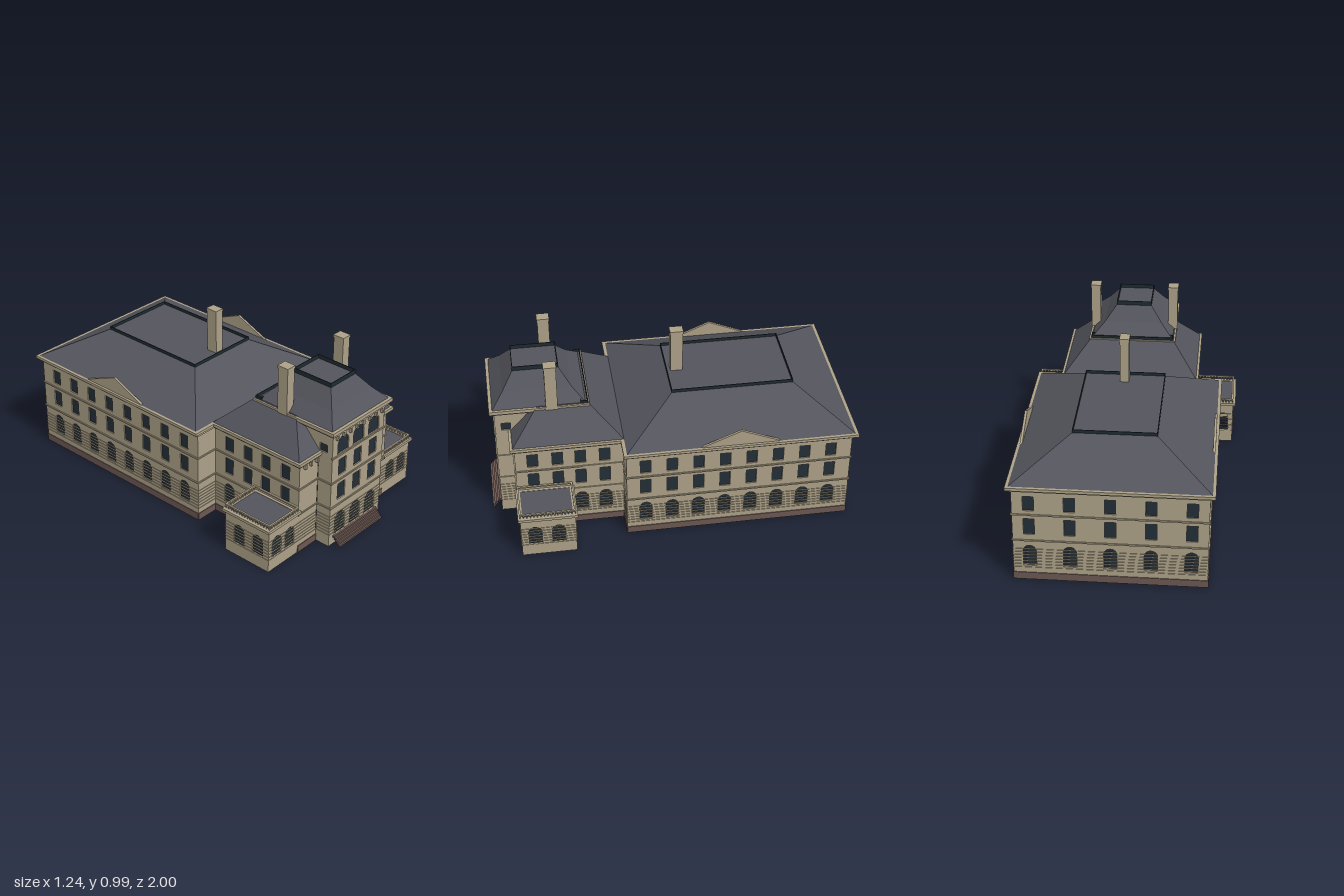
import * as THREE from 'three';

const mat = (name, color, side = THREE.DoubleSide) => {
  const m = new THREE.MeshStandardMaterial({ color, side });
  m.name = name;
  return m;
};

export function createModel() {
  const stone = mat('sandstone', 0xaca087);
  const slate = mat('slate', 0x54545d);
  const glass = mat('dark glass', 0x232e37);
  const iron = mat('dark iron', 0x1e2b31);
  const plum = mat('plum base stone', 0x6b5751);
  const root = new THREE.Group();
  root.name = 'mansion';

  const add = (name, geo, m, parent = root) => {
    const mesh = new THREE.Mesh(geo, m);
    mesh.name = name;
    parent.add(mesh);
    return mesh;
  };
  const box = (name, x0, x1, y0, y1, z0, z1, m, parent) => add(name,
    new THREE.BoxGeometry(x1 - x0, y1 - y0, z1 - z0)
      .translate((x0 + x1) / 2, (y0 + y1) / 2, (z0 + z1) / 2), m, parent);

  // Rectangular frame lying flat: cornices, rails and roof cresting
  const rect = (T, x0, x1, y0, y1) => {
    const s = new T();
    s.moveTo(x0, y0); s.lineTo(x1, y0); s.lineTo(x1, y1); s.lineTo(x0, y1); s.closePath();
    return s;
  };
  const ring = (name, x0, x1, z0, z1, y0, y1, w, m) => {
    const s = rect(THREE.Shape, x0, x1, -z1, -z0);
    s.holes.push(rect(THREE.Path, x0 + w, x1 - w, -z1 + w, -z0 - w));
    const g = new THREE.ExtrudeGeometry(s, { depth: y1 - y0, bevelEnabled: false });
    add(name, g.rotateX(-Math.PI / 2).translate(0, y0, 0), m);
  };

  // Hipped roof through levels [half width, back z, front z, y], closed on top
  const hipRoof = (name, levels) => {
    const pos = [];
    const quad = (a, b, c, d) => pos.push(...a, ...b, ...c, ...a, ...c, ...d);
    const rows = levels.map(([x, z0, z1, y]) => [[-x, y, z1], [x, y, z1], [x, y, z0], [-x, y, z0]]);
    for (let i = 0; i + 1 < rows.length; i++)
      for (let k = 0; k < 4; k++) {
        const n = (k + 1) % 4;
        quad(rows[i][k], rows[i][n], rows[i + 1][n], rows[i + 1][k]);
      }
    quad(...rows[rows.length - 1]);
    const g = new THREE.BufferGeometry();
    g.setAttribute('position', new THREE.Float32BufferAttribute(pos, 3));
    g.computeVertexNormals();
    add(name, g, slate);
  };

  // Window outline centred on u, optionally with a round head
  const opening = (T, { u, w, y0, y1, arch }) => {
    if (!arch) return rect(T, u - w / 2, u + w / 2, y0, y1);
    const s = new T();
    s.moveTo(u - w / 2, y0);
    s.lineTo(u + w / 2, y0);
    s.lineTo(u + w / 2, y1 - w / 2);
    s.absarc(u, y1 - w / 2, w / 2, 0, Math.PI, false);
    s.closePath();
    return s;
  };
  const row = (us, w, y0, y1, arch = false) => us.map(u => ({ u, w, y0, y1, arch }));

  // Wall panel: openings, panes, rusticated ground floor, string courses, base
  const wall = (name, x, z, ry, u0, u1, y0, y1, wins, o = {}) => {
    const g = new THREE.Group();
    g.name = name;
    g.position.set(x, 0, z);
    g.rotation.y = ry;
    root.add(g);
    const s = rect(THREE.Shape, u0, u1, y0, y1);
    wins.forEach(w => s.holes.push(opening(THREE.Path, w)));
    add('wallPanel', new THREE.ExtrudeGeometry(s, { depth: 0.012, bevelEnabled: false, curveSegments: 6 })
      .translate(0, 0, -0.012), stone, g);
    if (!o.open && wins.length) add('windowPanes',
      new THREE.ShapeGeometry(wins.map(w => opening(THREE.Shape, w)), 6).translate(0, 0, -0.007), glass, g);
    if (y0 === 0) for (let i = 0; i < 7; i++)
      box('rusticationStrip', u0, u1, 0.073 + i * 0.019, 0.0755 + i * 0.019, -0.003, 0.003, stone, g);
    (o.bands || []).forEach(y => box('stringCourse', u0 - 0.005, u1 + 0.005, y, y + 0.008, -0.005, 0.006, stone, g));
    if (o.base) box('basePlinth', u0, u1, 0, 0.042, -0.005, 0.004, plum, g);
  };
  const sideWall = (name, s, x, z0, z1, y0, y1, wins, o) =>
    wall(name, s * x, 0, s * Math.PI / 2, s > 0 ? -z1 : z0, s > 0 ? -z0 : z1, y0, y1,
      wins.map(w => ({ ...w, u: -s * w.u })), o);
  const floors = (us, ground = us) => [
    ...row(ground, 0.07, 0.085, 0.21, true), ...row(us, 0.058, 0.278, 0.374), ...row(us, 0.058, 0.422, 0.508)];
  const bands = [0.238, 0.394];
  const full = { bands, base: true };

  // Main block
  const bays = Array.from({ length: 8 }, (_, i) => 0.166 - i * 0.146);
  wall('mainBackWall', 0, -0.97, Math.PI, -0.507, 0.507, 0, 0.555, floors([-0.42, -0.21, 0, 0.21, 0.42]), full);
  wall('mainFrontWall', 0, 0.27, 0, -0.507, 0.507, 0, 0.555, [], full);
  ring('mainFrieze', -0.518, 0.518, -0.982, 0.278, 0.54, 0.556, 0.02, stone);
  ring('mainCornice', -0.534, 0.534, -1, 0.285, 0.555, 0.571, 0.035, stone);
  hipRoof('mainRoof', [[0.52, -0.985, 0.268, 0.57], [0.22, -0.69, -0.02, 0.733]]);
  ring('mainRoofCresting', -0.222, 0.222, -0.692, -0.018, 0.728, 0.75, 0.004, iron);

  // Middle block
  ring('middleFrieze', -0.383, 0.383, 0.25, 0.87, 0.538, 0.554, 0.02, stone);
  ring('middleCornice', -0.398, 0.398, 0.25, 0.882, 0.553, 0.571, 0.03, stone);
  hipRoof('middleRoof', [[0.385, 0.265, 0.868, 0.57], [0.24, 0.44, 0.72, 0.73]]);
  ring('middleRoofCresting', -0.24, 0.24, 0.44, 0.48, 0.725, 0.745, 0.004, iron);

  for (const s of [1, -1]) {
    sideWall('mainSideWall', s, 0.507, -0.97, 0.27, 0, 0.555, floors(bays), full);
    sideWall('middleSideWall', s, 0.37, 0.27, 0.86, 0, 0.555,
      floors([0.765, 0.63, 0.505, 0.372], [0.505, 0.372]), full);
    wall('middleFrontWall', s * 0.295, 0.86, 0, -0.075, 0.075, 0, 0.555, [], full);
    for (const x of [0.24, 0.287, 0.333])
      box('eavesBracket', s * x - 0.006, s * x + 0.006, 0.512, 0.538, 0.858, 0.875, stone);

    // Side gable
    const tri = new THREE.Shape([[-0.225, 0], [0.225, 0], [0, 0.095]].map(p => new THREE.Vector2(...p)));
    const gable = add('sideGable', new THREE.ExtrudeGeometry(tri, { depth: 0.014, bevelEnabled: false })
      .rotateY(Math.PI / 2), stone);
    gable.position.set(s * 0.513 - 0.007, 0.568, -0.353);

    // Low wing with its balustrade
    const lo = s > 0 ? 0.37 : -0.605, hi = s > 0 ? 0.605 : -0.37;
    const wingWin = us => row(us, 0.073, 0.077, 0.197, true);
    wall('wingFrontWall', 0, 0.86, 0, lo, hi, 0, 0.255, wingWin([s * 0.437, s * 0.54]));
    wall('wingBackWall', 0, 0.56, Math.PI, -hi, -lo, 0, 0.255, wingWin([-s * 0.437, -s * 0.54]), { open: true });
    sideWall('wingSideWall', s, 0.605, 0.56, 0.86, 0, 0.255, wingWin([0.783, 0.655]));
    const a = s > 0 ? 0.36 : -0.62, b = s > 0 ? 0.62 : -0.36;
    ring('wingCornice', a, b, 0.548, 0.872, 0.25, 0.266, 0.025, stone);
    box('wingRoof', a + 0.015, b - 0.015, 0.258, 0.264, 0.563, 0.857, slate);
    ring('balustradeRail', lo, hi, 0.556, 0.864, 0.284, 0.292, 0.01, stone);
    for (let i = 0; i <= 12; i++) {
      const x = s * (0.378 + i * 0.0185);
      for (const z of [0.561, 0.859])
        box('baluster', x - 0.003, x + 0.003, 0.264, 0.286, z - 0.003, z + 0.003, stone);
    }
    for (let i = 1; i < 16; i++) {
      const z = 0.561 + i * 0.0186;
      box('baluster', s * 0.6 - 0.003, s * 0.6 + 0.003, 0.264, 0.286, z - 0.003, z + 0.003, stone);
    }

    // Tower sides
    sideWall('towerLowerSide', s, 0.218, 0.86, 0.95, 0, 0.56, [], { bands });
    sideWall('towerUpperSide', s, 0.218, 0.46, 0.95, 0.56, 0.7, row([0.89], 0.05, 0.575, 0.622));
  }

  // Tower
  const tx = [-0.13, 0, 0.13];
  wall('towerFrontWall', 0, 0.95, 0, -0.218, 0.218, 0, 0.7, [
    ...row(tx, 0.088, 0.055, 0.185, true), ...row(tx, 0.062, 0.273, 0.372),
    ...row(tx, 0.062, 0.424, 0.522), ...row(tx, 0.09, 0.56, 0.662, true)], { bands: [...bands, 0.549] });
  wall('towerBackWall', 0, 0.46, Math.PI, -0.218, 0.218, 0.56, 0.7, []);
  for (let i = 0; i < 8; i++) {
    const x = -0.189 + i * 0.054;
    box('towerBracket', x - 0.006, x + 0.006, 0.658, 0.692, 0.948, 0.964, stone);
  }
  ring('towerFrieze', -0.233, 0.233, 0.445, 0.964, 0.69, 0.71, 0.02, stone);
  ring('towerCornice', -0.252, 0.252, 0.432, 0.975, 0.708, 0.728, 0.035, stone);
  hipRoof('towerRoof', [[0.238, 0.45, 0.958, 0.727], [0.168, 0.522, 0.894, 0.798], [0.1, 0.585, 0.83, 0.885]]);
  ring('towerRoofCresting', -0.102, 0.102, 0.583, 0.832, 0.88, 0.907, 0.004, iron);

  // Chimneys
  for (const [x, z, w, d, y] of [[-0.228, 0.637, 0.054, 0.064, 0.64], [0.228, 0.637, 0.054, 0.064, 0.64],
    [0, -0.075, 0.05, 0.068, 0.72]]) {
    box('chimney', x - w / 2, x + w / 2, y, 0.98, z - d / 2, z + d / 2, stone);
    box('chimneyCap', x - w / 2 - 0.003, x + w / 2 + 0.003, 0.978, 0.993, z - d / 2 - 0.003, z + d / 2 + 0.003, stone);
  }

  // Entrance steps
  for (let i = 0; i < 5; i++)
    box('entranceStep', -0.185, 0.185, i * 0.0105, i * 0.0105 + 0.0125, 0.988 - i * 0.0095, 1 - i * 0.0095, plum);

  return root;
}
